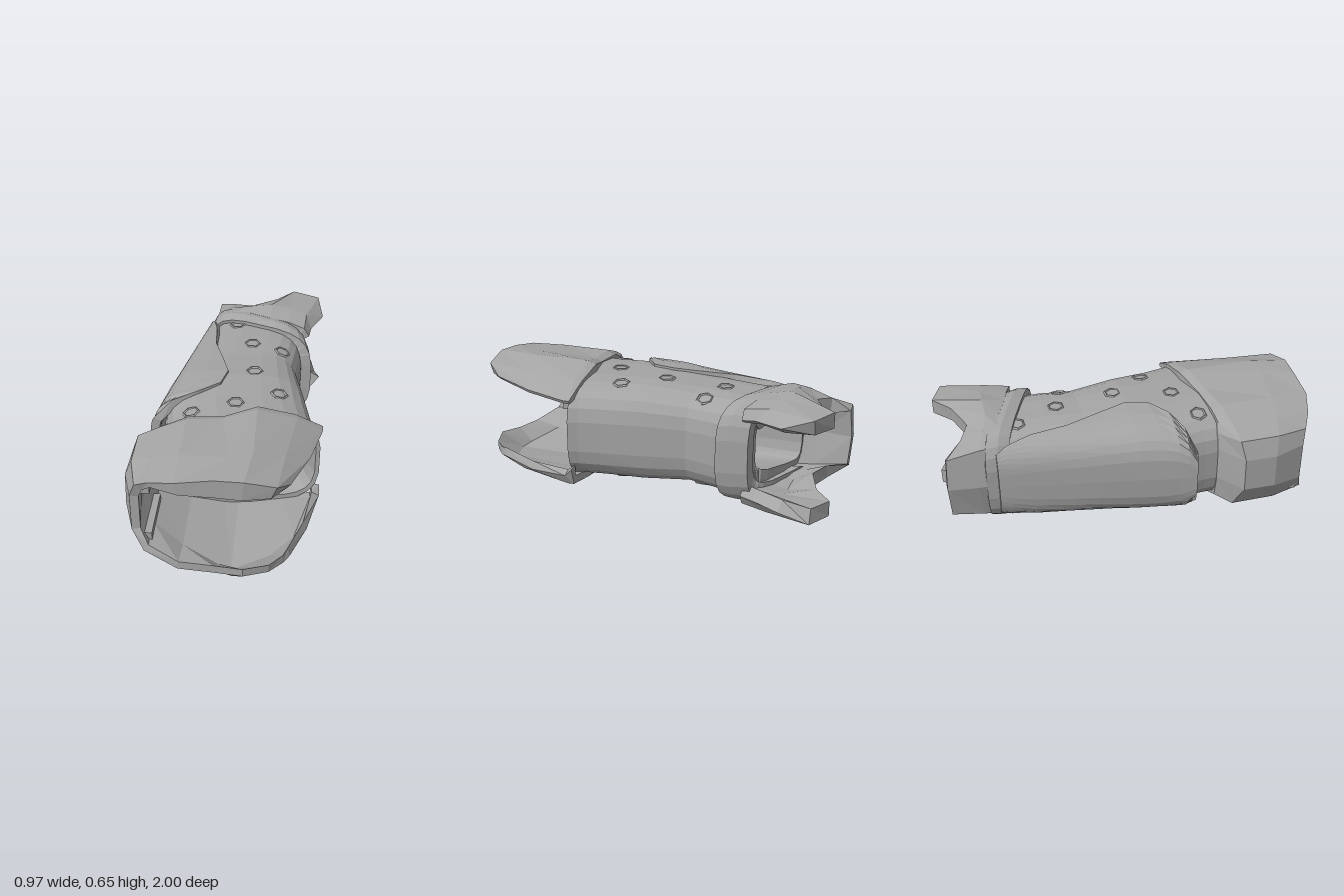
import * as THREE from 'three';

const grey = new THREE.MeshStandardMaterial({ color: 0xa4a4a4, flatShading: true, side: THREE.DoubleSide });
grey.name = 'grey';

// Thick skin over rows of [x, y, z] points; rows run towards +z, points run
// anticlockwise seen from the front. thickness(point) goes inwards.
function shell(name, rows, thickness, closed) {
  const n = rows[0].length, m = rows.length, pos = [], idx = [];
  const inner = rows.map((row) => row.map((p, j) => {
    const a = row[closed ? (j + n - 1) % n : Math.max(j - 1, 0)];
    const b = row[closed ? (j + 1) % n : Math.min(j + 1, n - 1)];
    const dx = b[0] - a[0], dy = b[1] - a[1], k = thickness(p) / (Math.hypot(dx, dy) || 1);
    return [p[0] - dy * k, p[1] + dx * k, p[2]];
  }));
  [...rows, ...inner].forEach((row) => row.forEach((p) => pos.push(...p)));
  const out = (i, j) => i * n + j % n;
  const inn = (i, j) => (m + i) * n + j % n;
  const quad = (a, b, c, d) => idx.push(a, b, c, a, c, d);
  const cols = closed ? n : n - 1;
  for (let j = 0; j < cols; j++) {
    for (let i = 0; i < m - 1; i++) {
      quad(out(i, j), out(i, j + 1), out(i + 1, j + 1), out(i + 1, j));
      quad(inn(i, j), inn(i + 1, j), inn(i + 1, j + 1), inn(i, j + 1));
    }
    quad(out(0, j), inn(0, j), inn(0, j + 1), out(0, j + 1));
    quad(out(m - 1, j), out(m - 1, j + 1), inn(m - 1, j + 1), inn(m - 1, j));
  }
  if (!closed) for (let i = 0; i < m - 1; i++) {
    quad(out(i, 0), out(i + 1, 0), inn(i + 1, 0), inn(i, 0));
    quad(out(i, n - 1), inn(i, n - 1), inn(i + 1, n - 1), out(i + 1, n - 1));
  }
  const g = new THREE.BufferGeometry();
  g.setAttribute('position', new THREE.Float32BufferAttribute(pos, 3));
  g.setIndex(idx);
  const flat = g.toNonIndexed();
  flat.computeVertexNormals();
  const mesh = new THREE.Mesh(flat, grey);
  mesh.name = name;
  return mesh;
}

// Rounded-rectangle section: s = [x min, x max, y min, y max]
const EXP = 2 / 3.4;
const pw = (v) => Math.sign(v) * Math.pow(Math.abs(v), EXP);
function onSection(s, a) {
  return [(s[0] + s[1]) / 2 + (s[1] - s[0]) / 2 * pw(Math.cos(a)),
    (s[2] + s[3]) / 2 + (s[3] - s[2]) / 2 * pw(Math.sin(a))];
}
// Ring whose z slants from zL (at x min) to zR (at x max)
function ring(zL, zR, s, n = 24) {
  return Array.from({ length: n }, (_, k) => {
    const [x, y] = onSection(s, (k + 0.5) / n * Math.PI * 2);
    return [x, y, THREE.MathUtils.lerp(zL, zR, (x - s[0]) / (s[1] - s[0]))];
  });
}

// Main tube sections: z at left edge, z at right edge, section
const TUBE = [
  [-0.74, -0.59, [-0.175, 0.37, 0.085, 0.575]],
  [-0.45, -0.42, [-0.19, 0.36, 0.07, 0.585]],
  [-0.25, -0.25, [-0.23, 0.34, 0.08, 0.585]],
  [0, 0, [-0.3, 0.39, 0.06, 0.605]],
  [0.2, 0.2, [-0.35, 0.43, 0.06, 0.6]],
  [0.34, 0.31, [-0.335, 0.455, 0.06, 0.6]],
  [0.45, 0.36, [-0.33, 0.475, 0.06, 0.6]],
];
function sectionAt(z) {
  let i = 0;
  while (i < TUBE.length - 2 && TUBE[i + 1][0] < z) i++;
  const a = TUBE[i], b = TUBE[i + 1];
  const t = THREE.MathUtils.clamp((z - a[0]) / (b[0] - a[0]), 0, 1);
  return a[2].map((v, k) => v + (b[2][k] - v) * t);
}
const angleAtX = (s, x) =>
  Math.acos(Math.sign(x - (s[0] + s[1]) / 2) *
    Math.pow(Math.min(1, Math.abs((2 * x - s[0] - s[1]) / (s[1] - s[0]))), 1 / EXP));

const mirrorY = (half) => [...half, ...half.slice(0, -1).reverse().map(([x, y, z]) => [x, 0.66 - y, z])];

// Front cuff: flat ceiling, side wall thinning to its rim, thin floor
function cuffThickness([x, y, z]) {
  if (x < -0.3 && y > 0.1 && y < 0.54) return z < 0.78 ? 0.085 : 0.045;
  return y > 0.5 ? Math.max(0.02, y - 0.54) : 0.045;
}

export function createModel() {
  const model = new THREE.Group();
  model.name = 'hollowBrace';

  // The bore narrows to the rear on +x and to the front on -x
  model.add(shell('mainTube', TUBE.map(([a, b, s]) => ring(a, b, s)),
    ([x, , z]) => 0.07 - 0.22 * x * z - 0.03 * z, true));

  // Raised wrap over the -x side: [z, x of its edge]
  const edge = [[-0.74, -0.185], [-0.68, -0.165], [-0.55, -0.14], [-0.35, -0.125], [-0.15, -0.065],
    [-0.02, -0.03], [0.1, -0.06], [0.18, -0.17], [0.23, -0.3], [0.27, -0.4]];
  const wrap = edge.map(([z, x]) => {
    const s = sectionAt(z);
    const big = [-0.215 - 0.2 * (z + 0.74), s[1], s[2] - 0.012, s[3] + 0.012];
    const a0 = angleAtX(big, x);
    return Array.from({ length: 15 }, (_, k) =>
      [...onSection(big, a0 + (2 * Math.PI - 2 * a0) * k / 14), z]);
  });
  model.add(shell('sideWrap', wrap, () => 0.045, false));

  // Front cuff, open towards +x
  const frontRoot = [[0.48, 0.53, 0.34], [0.34, 0.595, 0.34], [0.15, 0.64, 0.35], [-0.02, 0.605, 0.4],
    [-0.2, 0.6, 0.41], [-0.28, 0.565, 0.42], [-0.315, 0.52, 0.41], [-0.335, 0.43, 0.41],
    [-0.335, 0.25, 0.41], [-0.31, 0.12, 0.41], [-0.2, 0.065, 0.41], [-0.02, 0.03, 0.38],
    [0.06, 0.02, 0.35], [0.29, 0.04, 0.34], [0.455, 0.06, 0.34], [0.48, 0.15, 0.34]];
  const frontBack = [[0.48, 0.53, 0.38], [0.35, 0.6, 0.38], [0.15, 0.655, 0.4], [-0.02, 0.62, 0.44],
    [-0.2, 0.62, 0.46], [-0.34, 0.575, 0.48], [-0.44, 0.53, 0.49], [-0.475, 0.43, 0.51],
    [-0.48, 0.25, 0.51], [-0.4, 0.11, 0.48], [-0.2, 0.06, 0.45], [-0.02, 0.02, 0.42],
    [0.06, 0.01, 0.4], [0.29, 0.035, 0.38], [0.45, 0.055, 0.38], [0.48, 0.11, 0.38]];
  const frontMid = [[0.42, 0.54, 0.62], [0.3, 0.605, 0.7], [0.15, 0.655, 0.75], [0.04, 0.645, 0.79],
    [-0.2, 0.62, 0.75], [-0.34, 0.575, 0.73], [-0.44, 0.53, 0.7], [-0.48, 0.43, 0.68],
    [-0.485, 0.25, 0.68], [-0.4, 0.11, 0.72], [-0.2, 0.055, 0.8], [-0.02, 0.015, 0.88],
    [0.06, 0, 0.9], [0.25, 0.03, 0.82], [0.37, 0.06, 0.7], [0.42, 0.085, 0.62]];
  const frontTip = [[0.33, 0.56, 0.86], [0.27, 0.61, 0.95], [0.12, 0.645, 0.97], [-0.02, 0.64, 0.96],
    [-0.2, 0.61, 0.955], [-0.33, 0.57, 0.91], [-0.4, 0.52, 0.87], [-0.43, 0.44, 0.85],
    [-0.43, 0.23, 0.85], [-0.37, 0.13, 0.89], [-0.2, 0.08, 0.95], [-0.02, 0.085, 0.97],
    [0.12, 0.1, 1], [0.24, 0.09, 0.95], [0.31, 0.09, 0.88], [0.34, 0.1, 0.84]];
  model.add(shell('frontCuff', [frontRoot, frontBack, frontMid, frontTip], cuffThickness, false));

  // Rails inside the front cuff wall
  for (const y of [0.49, 0.175]) {
    const rail = new THREE.Mesh(new THREE.BoxGeometry(0.065, 0.07, 0.3), grey);
    rail.name = 'innerRail';
    rail.position.set(-0.365, y, 0.7);
    model.add(rail);
  }

  // Rear band around the tube, then the rear cuff with two prongs open to +x
  model.add(shell('rearBand', [
    ring(-0.8, -0.6, [-0.19, 0.39, 0.055, 0.605]),
    ring(-0.74, -0.5, [-0.195, 0.41, 0.045, 0.615]),
    ring(-0.68, -0.44, [-0.19, 0.42, 0.055, 0.6]),
  ], ([x]) => (x < -0.1 ? 0.05 : 0.09), true));
  const rearTip = mirrorY([[0.48, 0.545, -0.79], [0.45, 0.595, -0.94], [0.3, 0.6, -1], [0.2, 0.59, -0.91],
    [0.05, 0.57, -0.85], [-0.06, 0.55, -0.9], [-0.15, 0.5, -0.99], [-0.17, 0.33, -1]]);
  const rearMid = mirrorY([[0.41, 0.54, -0.64], [0.38, 0.6, -0.7], [0.28, 0.62, -0.74], [0.17, 0.635, -0.75],
    [0.05, 0.62, -0.75], [-0.06, 0.59, -0.78], [-0.15, 0.53, -0.82], [-0.19, 0.33, -0.84]]);
  const rearRoot = mirrorY([[0.4, 0.53, -0.57], [0.37, 0.58, -0.57], [0.28, 0.6, -0.6], [0.17, 0.61, -0.63],
    [0.05, 0.61, -0.68], [-0.06, 0.6, -0.7], [-0.15, 0.54, -0.72], [-0.19, 0.33, -0.74]]);
  model.add(shell('rearCuff', [rearTip, rearMid, rearRoot], ([x]) => (x < -0.1 ? 0.05 : 0.08), false));

  // Six-sided vent rims on top and underside, lying on the tube
  const vents = [[-0.02, -0.6], [0.08, -0.37], [0.25, -0.32], [0.11, -0.05],
    [0.25, 0.15], [0.03, 0.26], [-0.19, 0.34]];
  const ventGeo = new THREE.TorusGeometry(0.041, 0.008, 4, 6).rotateX(Math.PI / 2);
  for (const [x, z] of vents) {
    const s = sectionAt(z), a = angleAtX(s, x);
    const p = onSection(s, a - 0.1), q = onSection(s, a + 0.1);
    for (const side of [1, -1]) {
      const vent = new THREE.Mesh(ventGeo, grey);
      vent.name = 'ventRim';
      vent.position.set(x, onSection(s, a * side)[1] - side * 0.004, z);
      vent.rotation.z = side * Math.atan2(p[1] - q[1], p[0] - q[0]);
      model.add(vent);
    }
  }
  return model;
}
